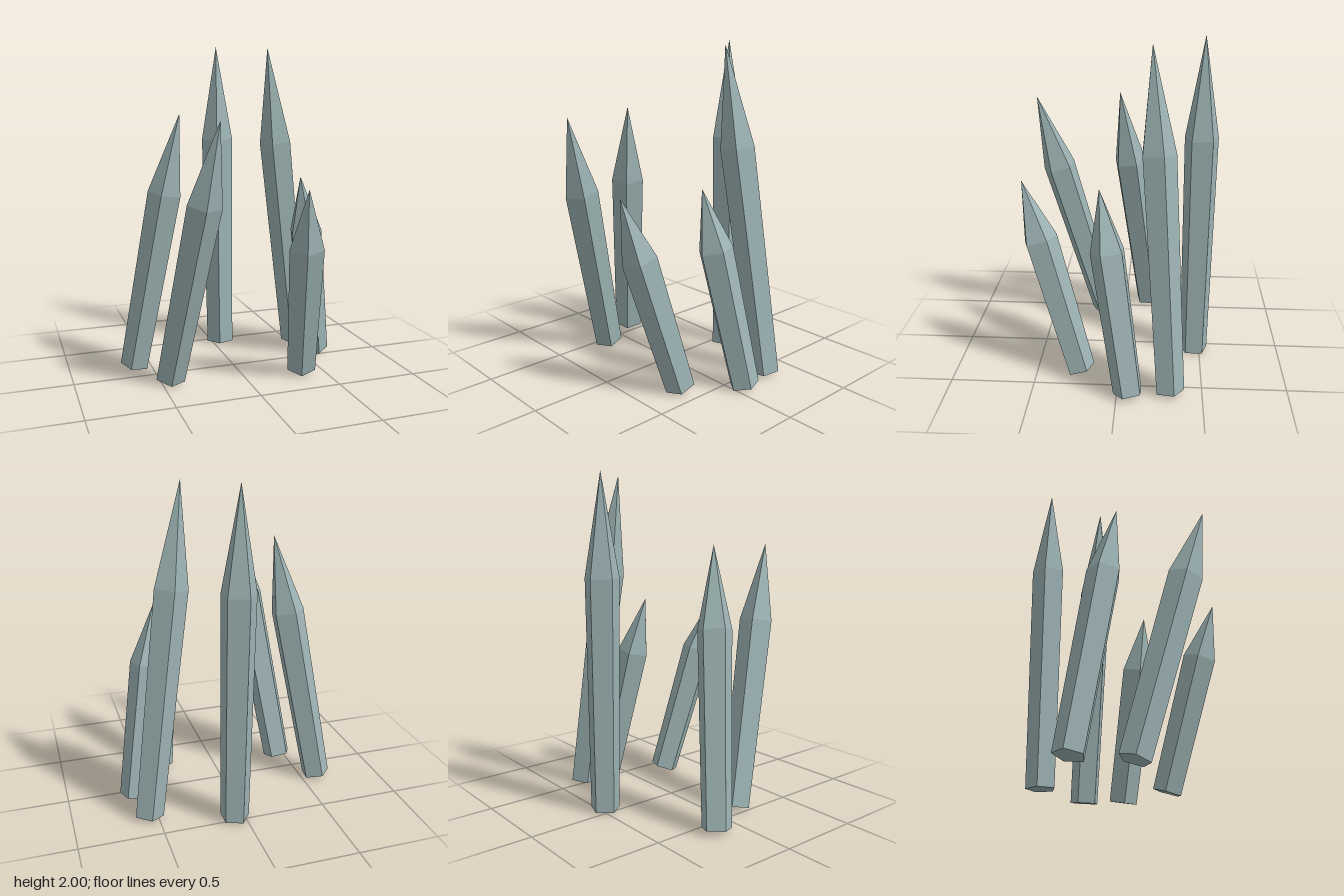
import * as THREE from 'three';

const SIDES = 5;
const BASE_RADIUS = 0.09;
const SHOULDER_RADIUS = 0.105;
const SHAFT_SHARE = 0.7; // part of the length below the pointed tip

// base centre, tip, and the heading (degrees from +x towards +z) of one corner
const PILLARS = [
  { name: 'backPillar', base: [0.06, 0.004, -0.465], tip: [0.04, 2.0, -0.475], corner: 36 },
  { name: 'leftBackPillar', base: [0.553, 0.014, -0.306], tip: [0.287, 1.985, -0.18], corner: 52 },
  { name: 'leftPillar', base: [0.595, 0.018, -0.07], tip: [0.4, 1.2, 0.106], corner: 19 },
  { name: 'leftFrontPillar', base: [0.365, 0.025, 0.236], tip: [0.249, 1.19, 0.57], corner: 38 },
  { name: 'rightFrontPillar', base: [-0.447, 0.025, 0.143], tip: [-0.255, 1.575, 0.548], corner: 25 },
  { name: 'rightPillar', base: [-0.6, 0.018, -0.16], tip: [-0.343, 1.59, 0.032], corner: 44 },
];

// One leaning five-sided pillar with a sharpened tip
function createPillar({ name, base, tip, corner }, material) {
  const start = new THREE.Vector3(...base);
  const axis = new THREE.Vector3(...tip).sub(start);
  const length = axis.length();
  const shaftLength = length * SHAFT_SHARE;
  const tipLength = length - shaftLength;
  const turn = THREE.MathUtils.degToRad(90 - corner);

  const shaft = new THREE.Mesh(
    new THREE.CylinderGeometry(SHOULDER_RADIUS, BASE_RADIUS, shaftLength, SIDES, 1, false, turn),
    material,
  );
  shaft.name = 'shaft';
  shaft.position.y = shaftLength / 2;

  const point = new THREE.Mesh(
    new THREE.ConeGeometry(SHOULDER_RADIUS, tipLength, SIDES, 1, true, turn),
    material,
  );
  point.name = 'point';
  point.position.y = shaftLength + tipLength / 2;

  const pillar = new THREE.Group();
  pillar.name = name;
  pillar.add(shaft, point);
  pillar.position.copy(start);
  pillar.quaternion.setFromUnitVectors(new THREE.Vector3(0, 1, 0), axis.normalize());
  return pillar;
}

export function createModel() {
  const stone = new THREE.MeshStandardMaterial({ color: 0x9db3b4, flatShading: true });
  stone.name = 'paleStone';

  const model = new THREE.Group();
  model.name = 'stonePillarRing';
  for (const spec of PILLARS) model.add(createPillar(spec, stone));
  return model;
}
